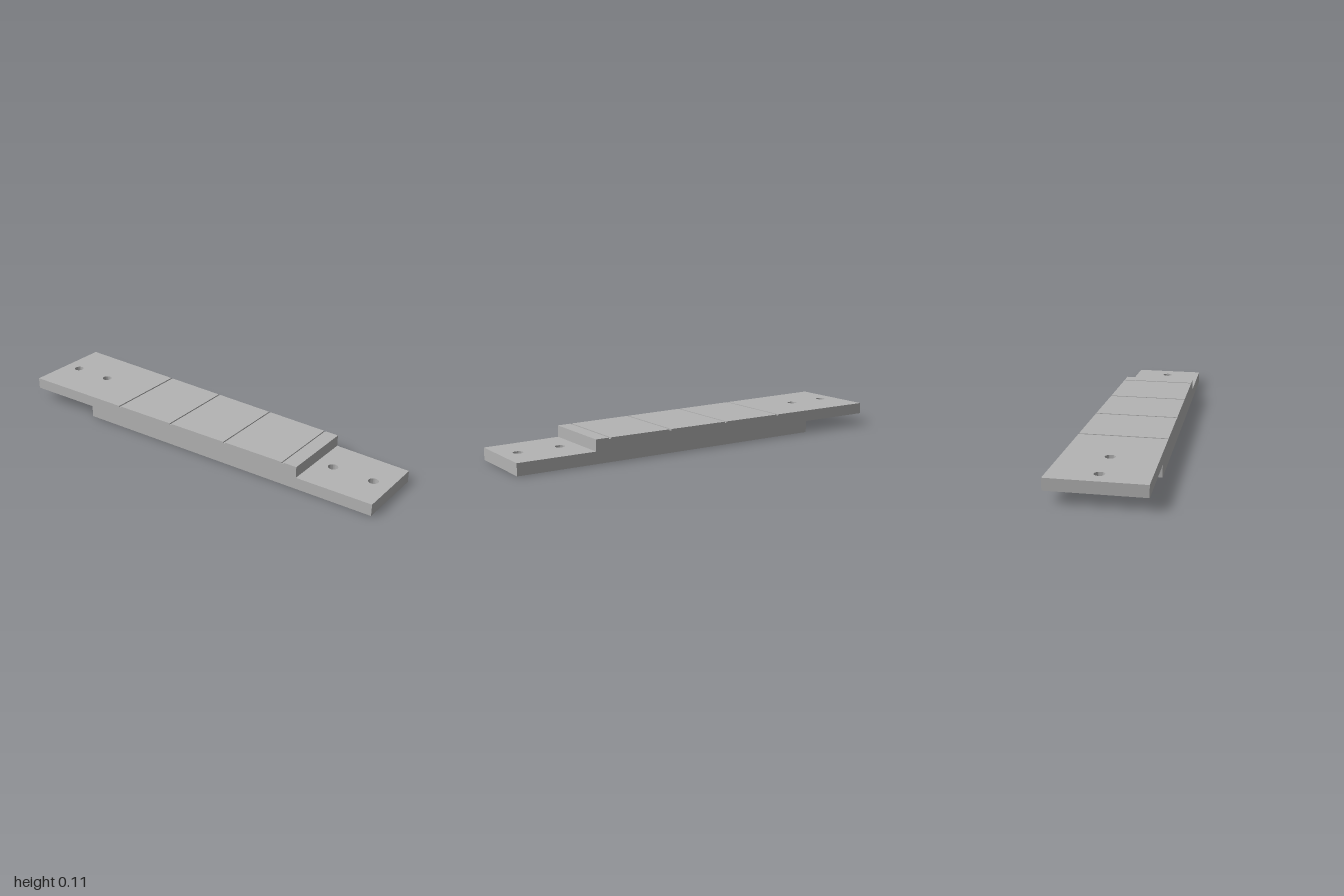
import * as THREE from 'three';
import { toCreasedNormals } from 'three/addons/utils/BufferGeometryUtils.js';

const TOP = 0.1145, MID = 0.0585, STEP = 0.617;
const HOLE_RADIUS = 0.024, GROOVE_WIDTH = 0.01, GROOVE_DEPTH = 0.006;

// Half of the plank's width, narrowing evenly along x
const halfWidth = (x) => 0.2 - 0.0228 * x;

// Thin end tongue with two through holes
function tongueGeometry(x0, x1, y0, y1, holes) {
  const shape = new THREE.Shape([
    new THREE.Vector2(x0, -halfWidth(x0)),
    new THREE.Vector2(x1, -halfWidth(x1)),
    new THREE.Vector2(x1, halfWidth(x1)),
    new THREE.Vector2(x0, halfWidth(x0)),
  ]);
  for (const x of holes) {
    shape.holes.push(new THREE.Path().absarc(x, 0, HOLE_RADIUS, 0, Math.PI * 2, true));
  }
  const geometry = new THREE.ExtrudeGeometry(shape, { depth: y1 - y0, bevelEnabled: false, curveSegments: 16 });
  geometry.rotateX(-Math.PI / 2).translate(0, y0, 0);
  return toCreasedNormals(geometry, 0.6);
}

// Full-height middle, its side profile notched by the grooves, then tapered
function bodyGeometry(grooves) {
  const shape = new THREE.Shape();
  shape.moveTo(-STEP, 0).lineTo(STEP, 0).lineTo(STEP, TOP);
  for (const x of [...grooves].reverse()) {
    const a = x + GROOVE_WIDTH / 2, b = x - GROOVE_WIDTH / 2;
    shape.lineTo(a, TOP).lineTo(a, TOP - GROOVE_DEPTH).lineTo(b, TOP - GROOVE_DEPTH).lineTo(b, TOP);
  }
  shape.lineTo(-STEP, TOP);
  const geometry = new THREE.ExtrudeGeometry(shape, { depth: 1, bevelEnabled: false });
  const p = geometry.attributes.position;
  for (let i = 0; i < p.count; i++) {
    p.setZ(i, (p.getZ(i) - 0.5) * 2 * halfWidth(p.getX(i)));
  }
  geometry.computeVertexNormals();
  return geometry;
}

export function createModel() {
  const model = new THREE.Group();
  model.name = 'lapJointPlank';
  const grey = new THREE.MeshStandardMaterial({ color: 0xb4b4b4 });
  grey.name = 'plain grey';

  const add = (name, geometry) => {
    const mesh = new THREE.Mesh(geometry, grey);
    mesh.name = name;
    model.add(mesh);
  };

  add('groovedBody', bodyGeometry([-0.425, -0.1, 0.22, 0.545]));
  add('upperTongue', tongueGeometry(-1, -STEP, MID, TOP, [-0.915, -0.706]));
  add('lowerTongue', tongueGeometry(STEP, 1, 0, MID, [0.703, 0.912]));
  return model;
}
